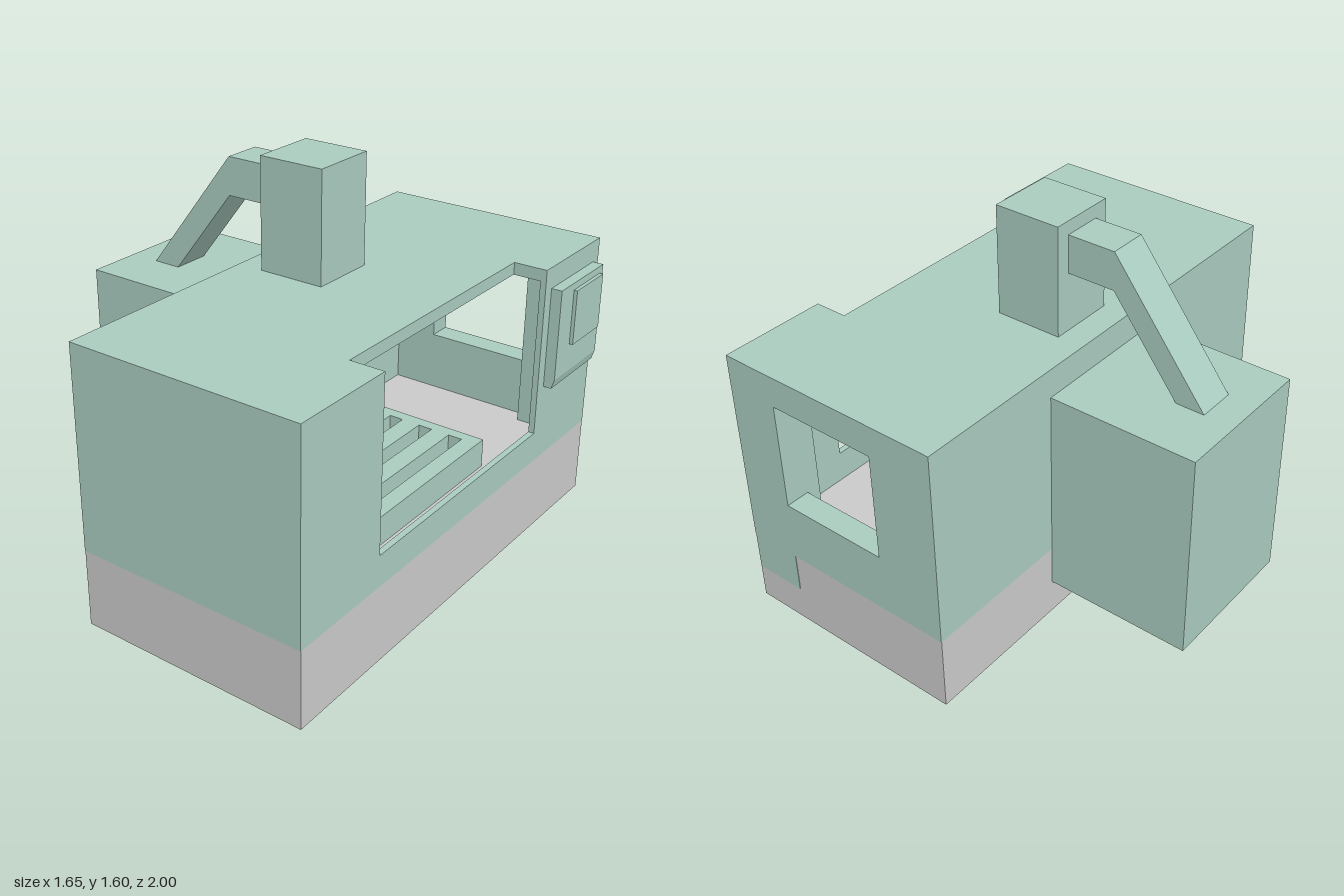
import * as THREE from 'three';

export function createModel() {
  const model = new THREE.Group();
  const green = new THREE.MeshStandardMaterial({ color: 0xa9cbbf });
  green.name = 'pale green paint';
  const grey = new THREE.MeshStandardMaterial({ color: 0xc9c9c9 });
  grey.name = 'light grey base';

  const add = (name, geometry, material = green) => {
    const mesh = new THREE.Mesh(geometry, material);
    mesh.name = name;
    model.add(mesh);
    return mesh;
  };
  // Box given by its extents on each axis
  const box = (name, [x0, x1], [y0, y1], [z0, z1], material) => {
    const mesh = add(name, new THREE.BoxGeometry(x1 - x0, y1 - y0, z1 - z0), material);
    mesh.position.set((x0 + x1) / 2, (y0 + y1) / 2, (z0 + z1) / 2);
    return mesh;
  };
  const cylinder = (name, r, x, z, y0, y1, sides = 32) => {
    const mesh = add(name, new THREE.CylinderGeometry(r, r, y1 - y0, sides), green);
    mesh.position.set(x, (y0 + y1) / 2, z);
  };
  const shapeOf = (pts) => new THREE.Shape(pts.map(([x, y]) => new THREE.Vector2(x, y)));
  const extrude = (shape, depth) =>
    new THREE.ExtrudeGeometry(shape, { depth, bevelEnabled: false });
  const rect = (x0, x1, y0, y1) => [[x0, y0], [x1, y0], [x1, y1], [x0, y1]];

  const L = -0.21, R = 0.765, floor = 0.32, ceiling = 1.1, top = 1.15;

  // Base, whose top is the floor of the work area
  box('base', [L, R], [0, floor], [-0.998, 0.998], grey);

  // Enclosure walls
  box('innerWall', [L, -0.11], [floor, ceiling], [-0.9, 0.9]);
  box('frontWall', [L, R], [floor, ceiling], [0.9, 1]);
  const backWall = shapeOf(rect(L, 0.54, floor, ceiling));
  backWall.holes.push(new THREE.Path(rect(0.07, 0.5399, 0.57, 1.02).map((p) => new THREE.Vector2(...p))));
  add('backWall', extrude(backWall, 0.1)).position.z = -1;
  box('rearColumn', [0.54, R - 0.003], [0.15, ceiling], [-1, -0.84]);

  // Side wall around the wide door opening
  box('doorSill', [0.74, R], [floor, 0.45], [-0.55, 0.55]);
  box('frontDoorWall', [0.74, R], [floor, ceiling], [0.55, 0.9]);
  box('rearDoorWall', [0.74, R], [floor, ceiling], [-1, -0.55]);

  // Roof with a notch above the door
  const roof = shapeOf([
    [L, -1], [R, -1], [R, -0.55], [0.625, -0.55],
    [0.625, 0.55], [R, 0.55], [R, 1], [L, 1],
  ]);
  const roofMesh = add('roof', extrude(roof, top - ceiling));
  roofMesh.rotation.x = Math.PI / 2;
  roofMesh.position.y = top;

  // Work table with long slots
  const table = shapeOf(rect(-0.05, 0.62, -0.4, 0.4));
  for (let i = 0; i < 4; i++) {
    const x = 0.1 + i * 0.14;
    table.holes.push(new THREE.Path(
      rect(x - 0.03, x + 0.03, -0.35, 0.35).map((p) => new THREE.Vector2(...p))));
  }
  const tableMesh = add('workTable', extrude(table, 0.07));
  tableMesh.rotation.x = Math.PI / 2;
  tableMesh.position.y = 0.44;
  box('tableBed', [-0.05, 0.62], [floor, 0.37], [-0.4, 0.4]);

  // Milling head and spindle
  box('headColumn', [-0.1, 0.18], [0.935, 1.6], [-0.18, 0.1]);
  cylinder('spindle', 0.05, 0.04, -0.04, 0.79, 0.935);

  // Tool carousel hung from the roof
  cylinder('carousel', 0.24, 0.17, 0.565, 0.755, 0.94);
  cylinder('carouselShaft', 0.075, 0.17, 0.565, 0.94, ceiling);

  // Cabinet and the cable arm joining it to the head
  box('cabinet', [-0.825, L], [0.15, 1.03], [-0.365, 0.26]);
  const arm = shapeOf([
    [-0.7, 1.03], [-0.58, 1.03], [-0.3, 1.39],
    [-0.1, 1.39], [-0.1, 1.545], [-0.3, 1.545],
  ]);
  add('cableArm', extrude(arm, 0.16)).position.z = -0.12;

  // Control panel with a chamfered lower edge
  const panel = shapeOf([[R, 0.64], [0.798, 0.64], [0.81, 0.68], [0.81, 1.06], [R, 1.06]]);
  add('controlPanel', extrude(panel, 0.355)).position.z = -0.955;
  box('panelScreen', [0.81, 0.825], [0.8, 1.03], [-0.93, -0.705]);

  return model;
}
